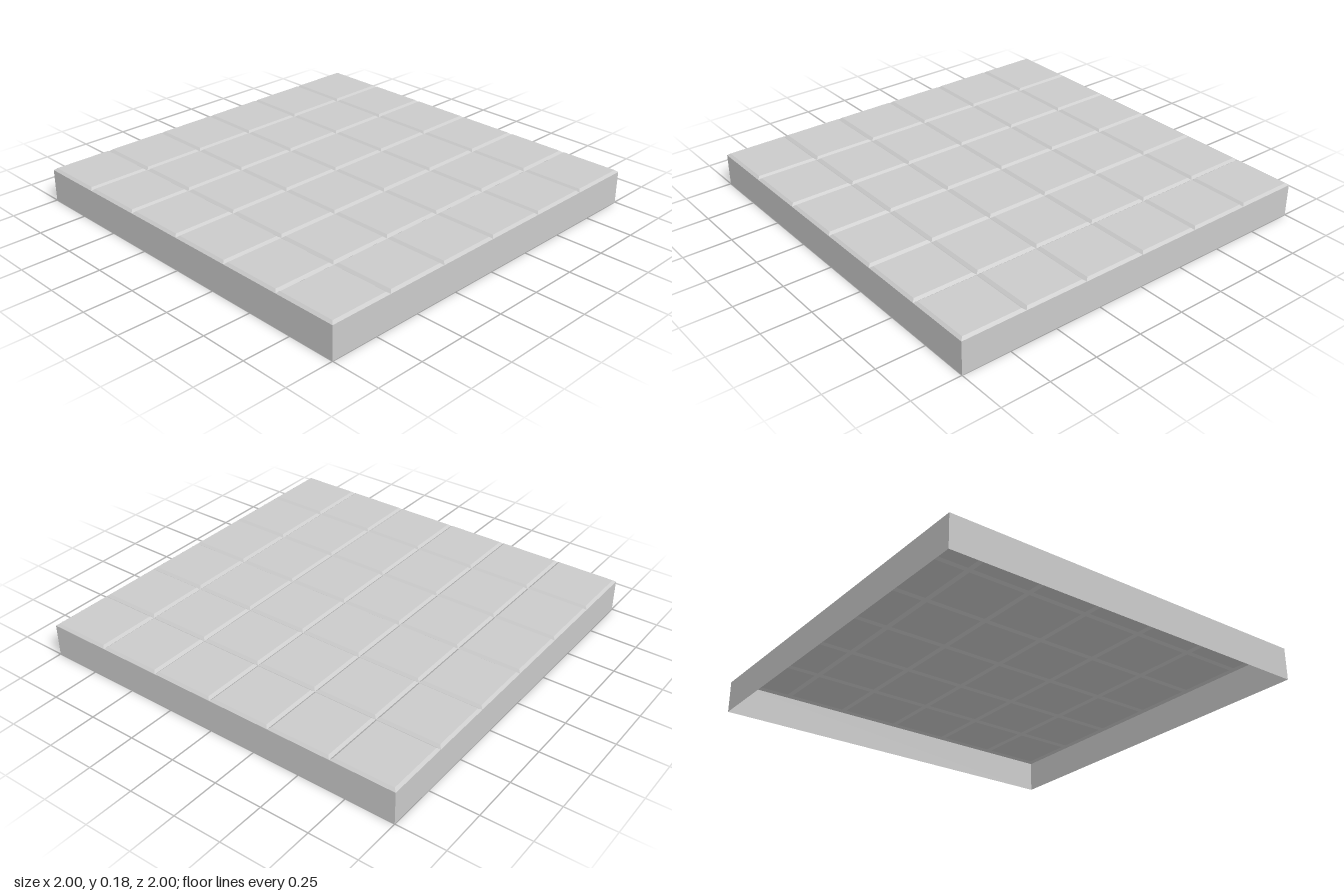
import * as THREE from 'three';
import { mergeGeometries } from 'three/addons/utils/BufferGeometryUtils.js';

const TILES = 6, PITCH = 2 / TILES;
const WALL_TOP = 0.168, TOP = 0.179, BEVEL = 0.014;

// Open four-sided band between two squares (half widths), from y0 to y1
function squareBand(halfTop, halfBottom, y0, y1) {
  const g = new THREE.CylinderGeometry(halfTop * Math.SQRT2, halfBottom * Math.SQRT2, y1 - y0, 4, 1, true);
  g.rotateY(Math.PI / 4);
  g.translate(0, (y0 + y1) / 2, 0);
  const flat = g.toNonIndexed();
  flat.computeVertexNormals();
  return flat;
}

export function createModel() {
  const group = new THREE.Group();
  group.name = 'tiledSlab';
  const material = new THREE.MeshStandardMaterial({
    color: 0xcccccc, flatShading: true, side: THREE.DoubleSide,
  });

  // Outer walls, open underneath
  const walls = new THREE.Mesh(squareBand(1, 1, 0, WALL_TOP), material);
  walls.name = 'sideWalls';
  group.add(walls);

  // One tile: sloped edges and a flat face, hollow below
  const half = PITCH / 2, inner = half - BEVEL;
  const face = new THREE.PlaneGeometry(inner * 2, inner * 2);
  face.rotateX(-Math.PI / 2);
  face.translate(0, TOP, 0);
  const tileGeometry = mergeGeometries([squareBand(inner, half, WALL_TOP, TOP), face.toNonIndexed()]);

  // Grid of tiles meeting in V grooves
  const tiles = new THREE.Group();
  tiles.name = 'tiles';
  for (let row = 0; row < TILES; row++) {
    for (let col = 0; col < TILES; col++) {
      const tile = new THREE.Mesh(tileGeometry, material);
      tile.name = `tile_${row + 1}_${col + 1}`;
      tile.position.set(-1 + (col + 0.5) * PITCH, 0, -1 + (row + 0.5) * PITCH);
      tiles.add(tile);
    }
  }
  group.add(tiles);
  return group;
}
